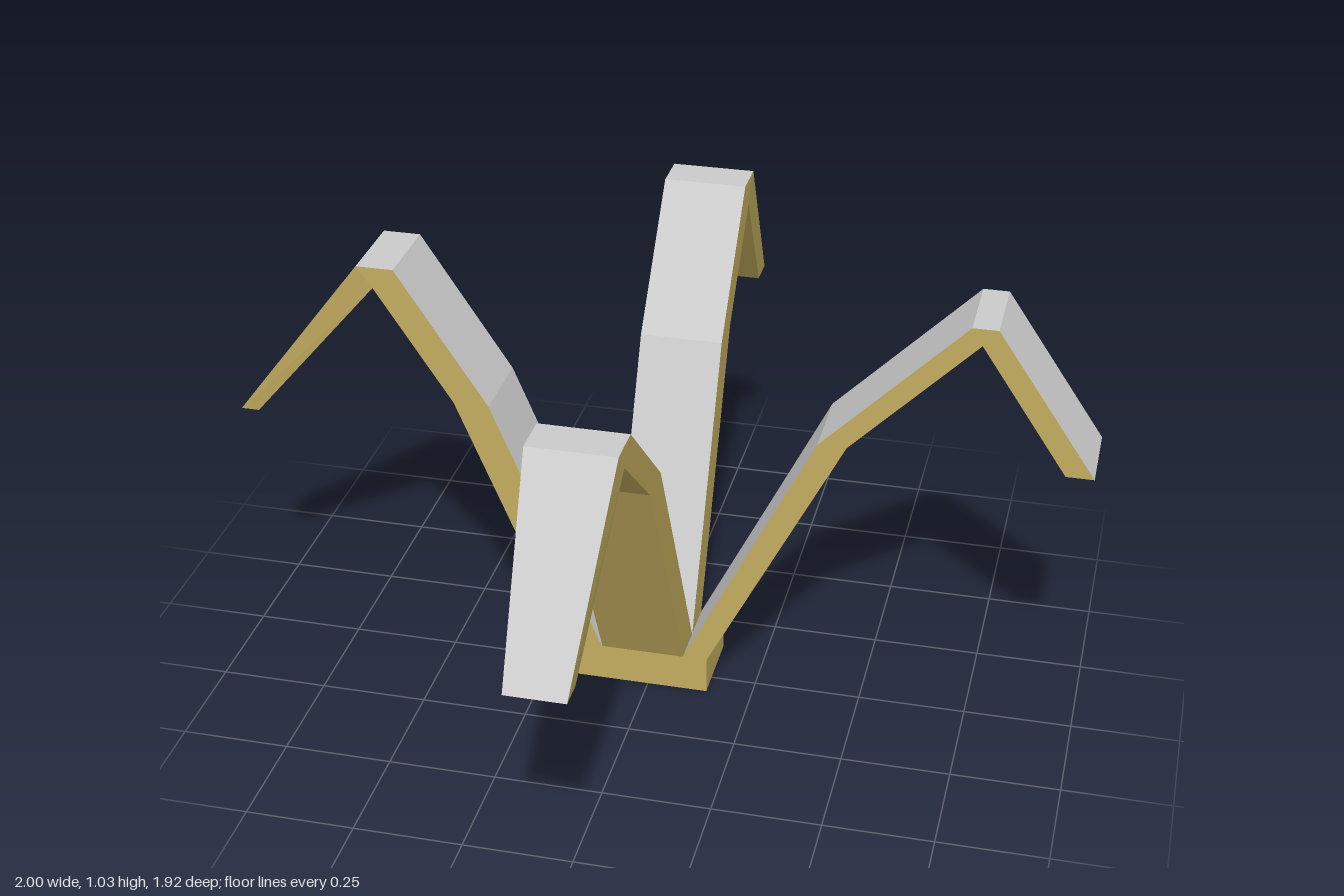
import * as THREE from 'three';

const HALF = 0.0985; // half width of every leg
const tan = new THREE.MeshStandardMaterial({ color: 0xc4ae60, flatShading: true });
const grey = new THREE.MeshStandardMaterial({ color: 0xcccccc, flatShading: true });

// Flat faces from quads; triangles that collapse to a line are dropped
function quadMesh(quads, material, name) {
  const points = [];
  for (const [a, b, c, d] of quads) {
    for (const [p, q, r] of [[a, b, c], [a, c, d]]) {
      if (new THREE.Triangle(p, q, r).getArea() > 1e-6) points.push(p, q, r);
    }
  }
  const geometry = new THREE.BufferGeometry().setFromPoints(points);
  geometry.computeVertexNormals();
  const mesh = new THREE.Mesh(geometry, material);
  mesh.name = name;
  return mesh;
}

// A leg reaching out along +x. Each station: [upper r, upper y, lower r, lower y, half width]
function makeLeg(name, stations) {
  const rings = stations.map(([ur, uy, lr, ly, w = HALF]) => [
    new THREE.Vector3(ur, uy, -w), new THREE.Vector3(ur, uy, w),
    new THREE.Vector3(lr, ly, w), new THREE.Vector3(lr, ly, -w),
  ]);
  const top = [], body = [];
  for (let i = 0; i < rings.length - 1; i++) {
    const [a, b, c, d] = rings[i];
    const [a2, b2, c2, d2] = rings[i + 1];
    top.push([a, b, b2, a2]);
    body.push([b, c, c2, b2], [c, d, d2, c2], [d, a, a2, d2]);
  }
  body.push(rings[rings.length - 1]); // tip
  const leg = new THREE.Group();
  leg.name = name;
  leg.add(quadMesh(top, grey, name + 'Top'), quadMesh(body, tan, name + 'Body'));
  return leg;
}

export function createModel() {
  const model = new THREE.Group();
  model.name = 'fourLeggedClaw';

  // Base block
  const base = new THREE.Mesh(new THREE.BoxGeometry(0.339, 0.09, 2 * HALF), tan);
  base.name = 'base';
  base.position.set(-0.0265, 0.16, -0.039);
  model.add(base);

  // Bent legs: name, turn about y, position, stations from base to tip
  const legs = [
    ['leftLeg', 0, [0, 0, -0.039], [
      [0.085, 0.205, 0.143, 0.205], [0.387, 0.82, 0.453, 0.82],
      [0.71, 1.147, 0.735, 1.107], [0.768, 1.147, 0.735, 1.107],
      [0.998, 0.812, 0.935, 0.812]]],
    ['rightLeg', Math.PI, [0, 0, -0.039], [
      [0.113, 0.205, 0.196, 0.205], [0.373, 0.82, 0.456, 0.82],
      [0.585, 1.14, 0.635, 1.09], [0.672, 1.14, 0.635, 1.09],
      [1, 0.712, 0.957, 0.712, 0.05]]],
    ['frontLeg', -Math.PI / 2, [-0.0125, 0, 0], [
      [-0.038, 0.205, 0.06, 0.205], [0.294, 0.84, 0.392, 0.84],
      [0.56, 1.08, 0.612, 1.03], [0.658, 1.08, 0.612, 1.03],
      [0.96, 0.685, 0.897, 0.685, 0.067]]],
    ['backLeg', Math.PI / 2, [-0.0125, 0, 0], [
      [0.038, 0.205, 0.137, 0.205], [0.334, 0.842, 0.43, 0.842],
      [0.584, 1.137, 0.63, 1.073], [0.682, 1.137, 0.63, 1.073],
      [0.963, 0.752, 0.887, 0.752, 0.079]]],
  ];
  for (const [name, turn, position, stations] of legs) {
    const leg = makeLeg(name, stations);
    leg.rotation.y = turn;
    leg.position.set(...position);
    model.add(leg);
  }
  return model;
}
